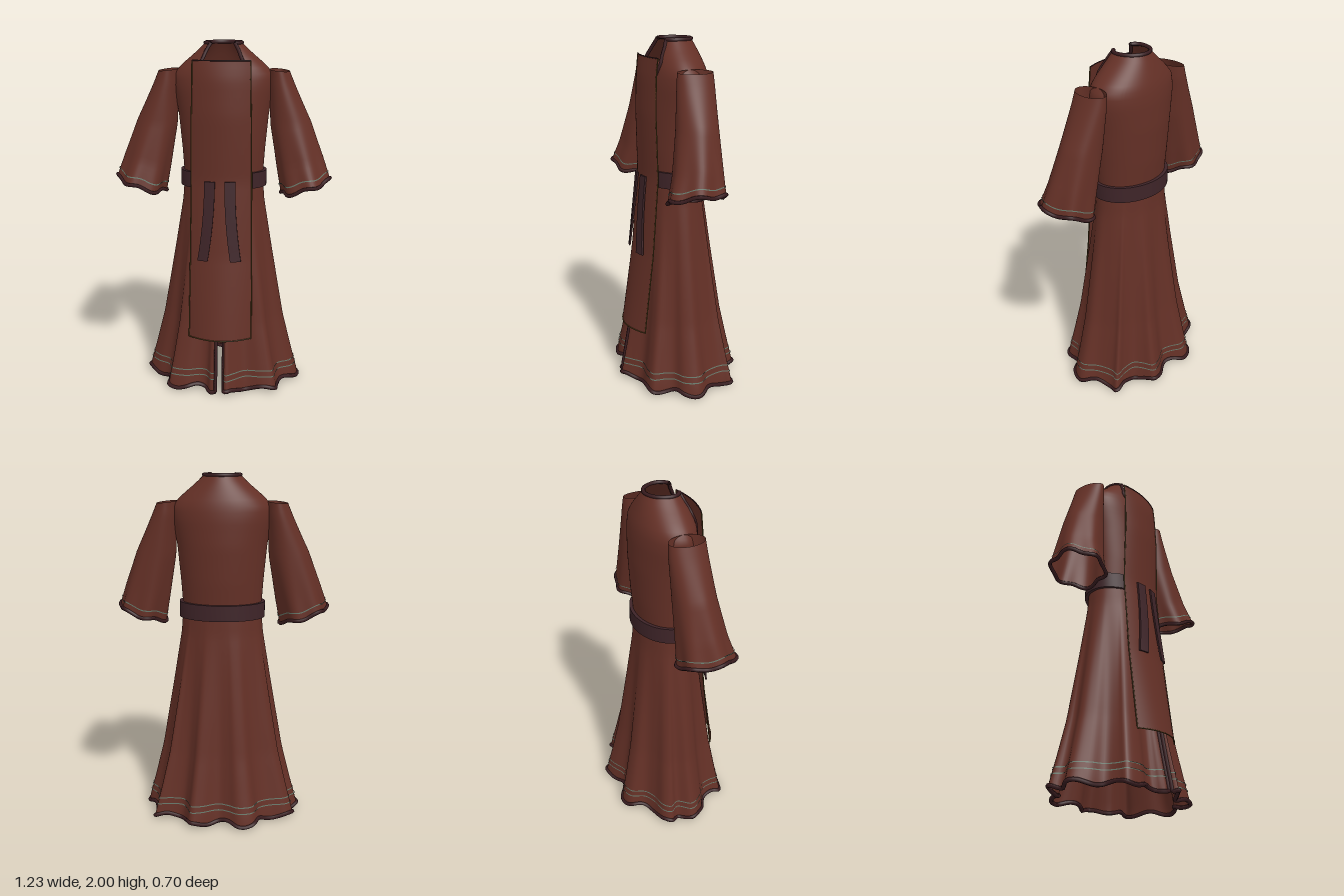
import * as THREE from 'three';
import { mergeVertices, toCreasedNormals } from 'three/addons/utils/BufferGeometryUtils.js';

const mat = (name, color) => {
  const m = new THREE.MeshStandardMaterial({ color, side: THREE.DoubleSide });
  m.name = name;
  return m;
};

// Surface through fn(u, v) -> [x, y, z], with u and v from 0 to 1
function loft(cols, rows, fn, weld = false) {
  const pos = [], idx = [];
  for (let j = 0; j <= rows; j++)
    for (let i = 0; i <= cols; i++) pos.push(...fn(i / cols, j / rows));
  for (let j = 0; j < rows; j++)
    for (let i = 0; i < cols; i++) {
      const a = j * (cols + 1) + i, b = a + cols + 1;
      idx.push(a, a + 1, b, a + 1, b + 1, b);
    }
  let g = new THREE.BufferGeometry();
  g.setAttribute('position', new THREE.Float32BufferAttribute(pos, 3));
  g.setIndex(idx);
  if (weld) g = mergeVertices(g, 1e-5);
  g.computeVertexNormals();
  return g;
}

// Round piping along fn(t) -> [x, y, z]
function piping(n, radius, fn, closed = false) {
  const pts = [];
  for (let i = 0; i < n + (closed ? 0 : 1); i++) pts.push(new THREE.Vector3(...fn(i / n)));
  return new THREE.TubeGeometry(new THREE.CatmullRomCurve3(pts, closed), n * 2, radius, 6, closed);
}

// Interpolate a table whose first column is the key
function table(rows, k) {
  if (k <= rows[0][0]) return rows[0];
  for (let i = 1; i < rows.length; i++)
    if (k <= rows[i][0]) {
      const p = rows[i - 1], q = rows[i], s = (k - p[0]) / (q[0] - p[0]);
      return p.map((v, c) => v + (q[c] - v) * s);
    }
  return rows[rows.length - 1];
}

// Rippled hem outline (x, z), from the front opening round the back
const HEM = new THREE.CatmullRomCurve3([
  [.025, .31], [.04, .34], [.09, .30], [.15, .25], [.26, .255], [.32, .24], [.33, .17], [.35, .12], [.42, .08],
  [.45, 0], [.40, -.07], [.38, -.12], [.37, -.18], [.38, -.23], [.3, -.22], [.22, -.225], [.19, -.27], [.16, -.34],
  [.1, -.33], [0, -.28], [-.06, -.3], [-.12, -.335], [-.2, -.315], [-.24, -.23], [-.3, -.195], [-.4, -.17],
  [-.43, -.13], [-.4, -.08], [-.455, 0], [-.4, .08], [-.32, .13], [-.3, .2], [-.3, .25], [-.2, .275], [-.12, .25],
  [-.08, .26], [-.05, .31], [-.02, .315],
].map(([x, z]) => new THREE.Vector3(x, 0, z)));

// height, half width, front depth, back depth, half opening, share of hem outline
const BODY = [
  [.03, .225, .155, .165, .02, 1], [.2, .225, .155, .165, .02, .8], [.4, .225, .155, .165, .02, .58],
  [.8, .225, .155, .165, .02, .27], [1.1, .225, .155, .165, .02, .05], [1.24, .225, .155, .165, .02, 0],
  [1.4, .236, .165, .18, .03, 0], [1.6, .255, .165, .19, .06, 0], [1.75, .28, .155, .187, .09, 0],
  [1.82, .278, .143, .178, .12, 0], [1.87, .235, .13, .163, .125, 0], [1.92, .175, .11, .143, .1, 0],
  [1.96, .13, .09, .125, .085, 0], [1.99, .1, .075, .108, .065, 0],
];

function bodyAt(u, y, out = 0) {
  const [, a, bf, bb, gap, t] = table(BODY, y);
  const h = HEM.getPointAt(u);
  const p = Math.atan2(h.x / .455, h.z / .34);
  const g = Math.asin(gap / a), g0 = .08;
  const q = Math.sign(p) * (g + (Math.max(Math.abs(p), g0) - g0) * (Math.PI - g) / (Math.PI - g0));
  const c = Math.cos(q), s = Math.sin(q);
  const x = a * s * (1 - t) + h.x * t, z = (c > 0 ? bf : bb) * c * (1 - t) + h.z * t;
  return [x + out * s, y, z + out * c];
}
const hemY = u => .024 + .011 * Math.sin(u * 75);
const body = (u, v) => bodyAt(u, THREE.MathUtils.lerp(hemY(u), 1.988, v));

// along sleeve, centre x, y, z, half width, half depth, tilt
const SLEEVE = [
  [0, .312, 1.84, -.01, .056, .1, -.1], [.12, .324, 1.77, -.008, .072, .105, -.04],
  [.45, .378, 1.55, .005, .112, .115, .12], [.8, .435, 1.33, .025, .127, .135, .25], [1, .468, 1.2, .043, .132, .155, .32],
];
function sleeveAt(u, t, out = 0) {
  const [, cx, cy, cz, rx, rz, tilt] = table(SLEEVE, t);
  const q = u * Math.PI * 2, w = 1 + .055 * t * t * Math.sin(6 * q + .6);
  const dx = (rx * w + out) * Math.cos(q);
  return [cx + dx, cy + dx * tilt + .008 * t * t * Math.sin(5 * q), cz + (rz * w + out) * Math.sin(q)];
}

// height, half width, centre z, edge z
const PANEL = [
  [.33, .18, .3, .235], [.8, .175, .225, .18], [1.24, .17, .186, .146],
  [1.6, .165, .195, .155], [1.8, .16, .185, .15], [1.9, .16, .165, .14],
];
function panelAt(s, y) {
  const [, w, zc, ze] = table(PANEL, y);
  return [s * w, y, zc + (ze - zc) * s * s];
}

export function createModel() {
  const cloth = mat('brown cloth', 0x643026), sash = mat('dark sash', 0x3e2428),
    trim = mat('dark piping', 0x381c1f), thread = mat('grey green stitching', 0x66786a),
    edge = mat('olive edging', 0x54401a);
  const root = new THREE.Group();
  root.name = 'robe';
  const add = (name, geo, m, parent = root) => {
    const o = new THREE.Mesh(geo, m);
    o.name = name;
    parent.add(o);
    return o;
  };

  // Body and flared skirt, open down the front
  add('robeBody', loft(180, 60, body), cloth);
  add('hemPiping', piping(180, .012, u => body(u, 0)), trim);
  add('neckPiping', piping(60, .011, u => body(u, 1)), trim);
  for (const u of [0, 1])
    add(u ? 'rightOpeningPiping' : 'leftOpeningPiping', piping(50, .01, v => body(u, v)), trim);
  for (const y of [.09, .125])
    add('hemStitching', loft(180, 1, (u, v) => bodyAt(u, y + v * .006, .005)), thread);

  // Front panel with a narrow edging
  add('frontPanel', loft(16, 40, (u, v) => panelAt(u * 2 - 1, .33 + v * 1.57)), cloth);
  for (const s of [-1, 1])
    add('panelSideEdging', piping(40, .0035, v => panelAt(s, .33 + v * 1.57)), edge);
  add('panelBottomEdging', piping(16, .0035, u => panelAt(u * 2 - 1, .33)), edge);
  add('panelTopPiping', piping(16, .0035, u => panelAt(u * 2 - 1, 1.9)), trim);

  // Sash round the waist, passing beneath the panel
  const ring = [[0, 1.19], [.02, 1.19], [.02, 1.28], [0, 1.28], [0, 1.19]];
  add('sash', toCreasedNormals(loft(64, 4, (u, v) => {
    const [r, y] = ring[Math.round(v * 4)], q = u * Math.PI * 2, c = Math.cos(q);
    return [(.226 + r) * Math.sin(q), y, (c > 0 ? .152 : .168) * c + r * c];
  }, true), .6), sash);

  // Two hanging sash ends
  for (const [name, x0, x1] of [['rightSashEnd', -.062, -.1], ['leftSashEnd', .052, .088]]) {
    const g = new THREE.BoxGeometry(.06, .45, .01, 2, 14, 1), p = g.attributes.position;
    for (let i = 0; i < p.count; i++) {
      const y = p.getY(i) + 1.015, d = (1.24 - y) / .45;
      const x = p.getX(i) + x0 + (x1 - x0) * d * d;
      p.setXYZ(i, x, y, p.getZ(i) + panelAt(x / table(PANEL, y)[1], y)[2] + .01 + .008 * d);
    }
    g.computeVertexNormals();
    add(name, g, sash);
  }

  // Wide open sleeves
  for (const side of [1, -1]) {
    const arm = new THREE.Group();
    arm.name = side > 0 ? 'leftSleeve' : 'rightSleeve';
    const at = (u, t, out) => {
      const [x, y, z] = sleeveAt(u, t, out);
      return [x * side, y, z];
    };
    add('sleeve', loft(72, 24, (u, v) => at(u, v), true), cloth, arm);
    add('cuffPiping', piping(72, .011, u => at(u, 1), true), trim, arm);
    add('cuffStitching', loft(72, 1, (u, v) => at(u, .93 + v * .009, .004), true), thread, arm);
    root.add(arm);
  }
  return root;
}
